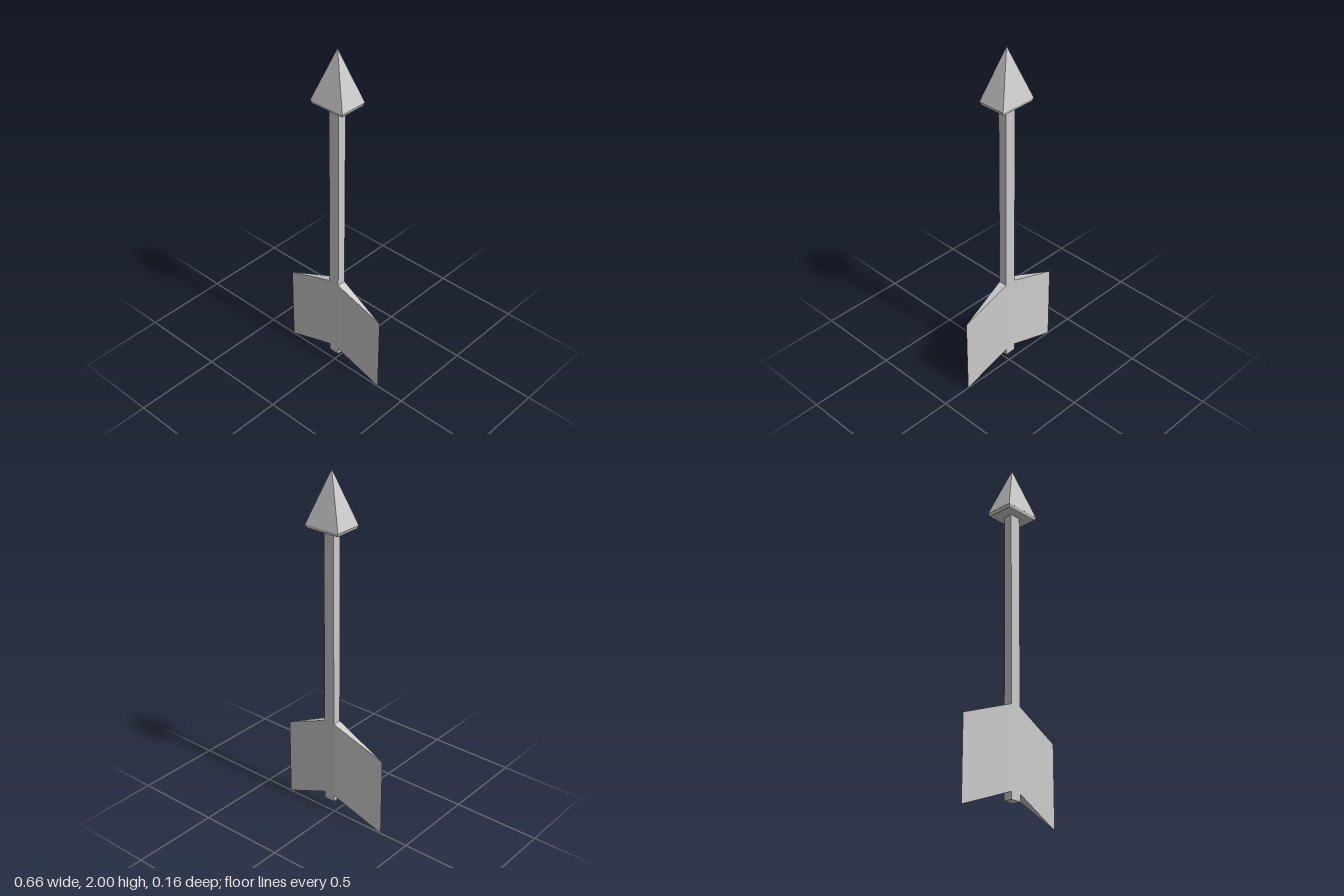
import * as THREE from 'three';

const material = new THREE.MeshStandardMaterial({ color: 0xcccccc, flatShading: true });
const CENTER_X = 0.017; // the shaft sits slightly off the middle
const SHAFT_HALF_X = 0.032;
const SHAFT_HALF_Z = 0.025;

function addPart(parent, name, geometry, x = 0, y = 0, z = 0) {
  const mesh = new THREE.Mesh(geometry, material);
  mesh.name = name;
  mesh.position.set(x, y, z);
  parent.add(mesh);
}

// Four-sided tapered block of unit half-widths, scaled to a rectangular base
function squareTaper(topScale, height, halfX, halfZ, openEnded) {
  return new THREE.CylinderGeometry(Math.SQRT2 * topScale, Math.SQRT2, height, 4, 1, openEnded)
    .rotateY(Math.PI / 4)
    .scale(halfX, 1, halfZ);
}

// Swept fin: a wedge, thick at the shaft and sharp at the tip, sheared downward
function finGeometry(rootX, tipX) {
  const height = 0.46, rootY = 0.125, drop = 0.125;
  const section = new THREE.Shape([
    new THREE.Vector2(rootX, -SHAFT_HALF_Z),
    new THREE.Vector2(tipX, 0),
    new THREE.Vector2(rootX, SHAFT_HALF_Z),
  ]);
  const geometry = new THREE.ExtrudeGeometry(section, { depth: height, bevelEnabled: false });
  geometry.rotateX(-Math.PI / 2);
  const p = geometry.attributes.position;
  for (let i = 0; i < p.count; i++) {
    const t = (p.getX(i) - rootX) / (tipX - rootX);
    p.setY(i, p.getY(i) + rootY - drop * t);
  }
  geometry.computeVertexNormals();
  return geometry;
}

export function createModel() {
  const arrow = new THREE.Group();
  arrow.name = 'arrow';

  // Shaft
  const bottom = 0.085, top = 1.694;
  addPart(arrow, 'shaft',
    new THREE.BoxGeometry(SHAFT_HALF_X * 2, top - bottom, SHAFT_HALF_Z * 2),
    CENTER_X, (bottom + top) / 2);

  // Head: thin rim widening upward, then a pyramid point
  const head = new THREE.Group();
  head.name = 'head';
  arrow.add(head);
  addPart(head, 'headRim', squareTaper(1.07, 0.018, 0.1, 0.0755, false), CENTER_X + 0.001, 1.702);
  addPart(head, 'headPoint', squareTaper(0, 0.289, 0.107, 0.081, true), CENTER_X + 0.001, 1.8555);

  // Fins
  addPart(arrow, 'leftFin', finGeometry(CENTER_X + SHAFT_HALF_X, 0.328));
  addPart(arrow, 'rightFin', finGeometry(CENTER_X - SHAFT_HALF_X, -0.328));

  return arrow;
}
